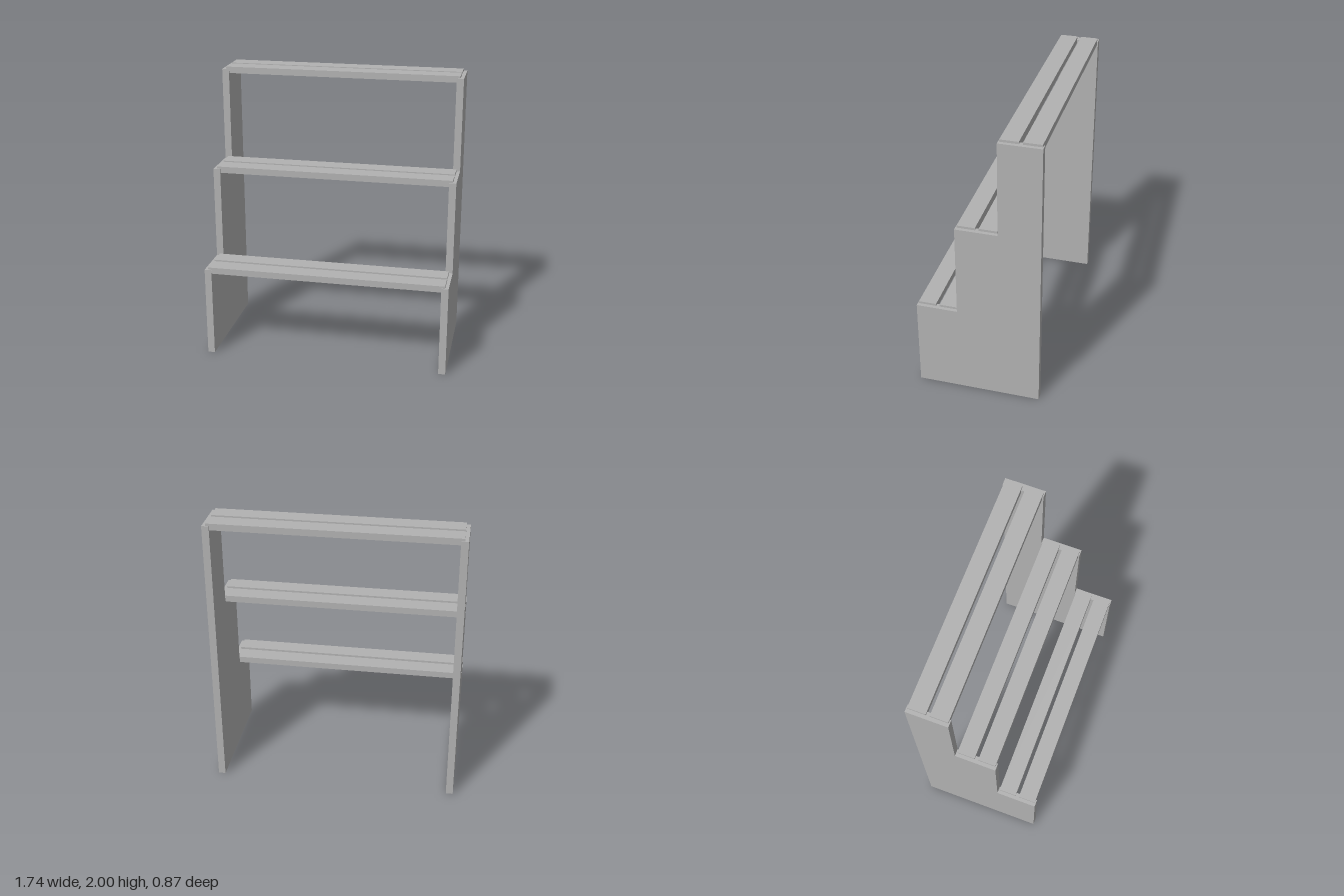
import * as THREE from 'three';

const grey = new THREE.MeshStandardMaterial({ color: 0xb2b2b2 });
grey.name = 'grey';

const STEP_TOPS = [0.667, 1.333, 2.0];
const STEP_Z = [0.289, 0, -0.289];
const LAP = 0.016; // slat thickness resting on the side panels
const SLAT_W = 0.123;

function extrude(points, depth) {
  const shape = new THREE.Shape(points.map(([x, y]) => new THREE.Vector2(x, y)));
  const geo = new THREE.ExtrudeGeometry(shape, { depth, bevelEnabled: false });
  return geo.translate(0, 0, -depth / 2);
}

export function createModel() {
  const group = new THREE.Group();
  group.name = 'steppedStand';

  // Stepped side panels, outlined in (z, y) and turned to face sideways
  const [h1, h2, h3] = STEP_TOPS.map((t) => t - LAP);
  const panel = extrude([
    [-0.433, 0], [0.433, 0], [0.433, h1], [0.145, h1],
    [0.145, h2], [-0.145, h2], [-0.145, h3], [-0.433, h3],
  ], 0.05).rotateY(-Math.PI / 2);
  for (const [name, side] of [['leftSidePanel', 1], ['rightSidePanel', -1]]) {
    const mesh = new THREE.Mesh(panel, grey);
    mesh.name = name;
    mesh.position.x = side * 0.845;
    group.add(mesh);
  }

  // Slats, notched at both ends to lap over the panels
  const slat = extrude([
    [-0.82, -0.046], [0.82, -0.046], [0.82, -LAP], [0.845, -LAP],
    [0.845, 0], [-0.845, 0], [-0.845, -LAP], [-0.82, -LAP],
  ], SLAT_W);
  STEP_TOPS.forEach((top, i) => {
    const step = new THREE.Group();
    step.name = ['lowerStep', 'middleStep', 'upperStep'][i];
    for (const [name, side] of [['frontSlat', 1], ['backSlat', -1]]) {
      const mesh = new THREE.Mesh(slat, grey);
      mesh.name = name;
      mesh.position.set(0, top, STEP_Z[i] + side * 0.0745);
      step.add(mesh);
    }
    group.add(step);
  });

  return group;
}
